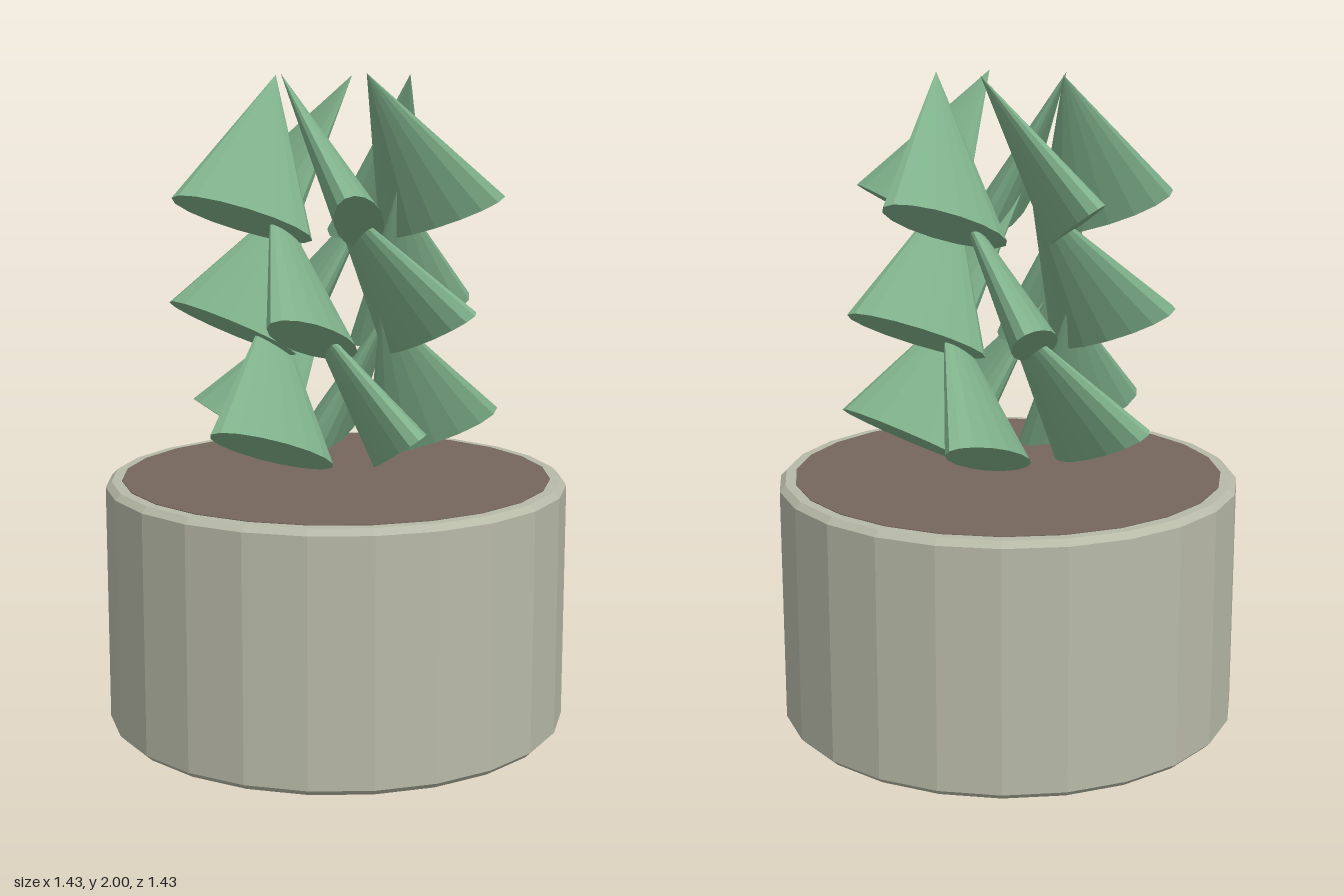
import * as THREE from 'three';

const material = (name, color) => {
  const m = new THREE.MeshStandardMaterial({ color, flatShading: true });
  m.name = name;
  return m;
};

export function createModel() {
  const group = new THREE.Group();
  const potMat = material('stone', 0xb8baa8);
  const soilMat = material('soil', 0x75675d);
  const leafMat = material('leaf green', 0x7fb18b);

  // Pot: 24-sided drum with small bevels
  const R = 0.715, H = 0.77, b = 0.018;
  const profile = [[0, 0], [R - b, 0], [R, b], [R, H - b], [R - b, H], [0, H]]
    .map(([x, y]) => new THREE.Vector2(x, y));
  const pot = new THREE.Mesh(new THREE.LatheGeometry(profile, 24), potMat);
  pot.name = 'pot';
  group.add(pot);

  // Soil: thin disc on the pot top
  const soil = new THREE.Mesh(new THREE.CylinderGeometry(0.665, 0.665, 0.006, 24), soilMat);
  soil.name = 'soil';
  soil.position.y = H - 0.001;
  group.add(soil);

  // Leaves: flattened cones in three pinwheel tiers of five
  const cone = new THREE.ConeGeometry(1, 1, 16).translate(0, 0.5, 0);
  const lean = [[0.028, -0.005], [0.008, -0.03], [-0.02, -0.017], [-0.023, 0.012], [0.003, 0.02]];
  const tiers = ['topLeaf', 'middleLeaf', 'bottomLeaf'];
  tiers.forEach((name, tier) => {
    for (let i = 0; i < 5; i++) {
      const a = THREE.MathUtils.degToRad(242.5 + tier * 24 + i * 72);
      const c = Math.cos(a), s = Math.sin(a);
      // Radial, tangential and upward amounts to a world vector
      const polar = (r, t, y) => new THREE.Vector3(r * c - t * s, y, r * s + t * c);

      const axis = polar(-0.24, 0.185, 0.425);
      if (tier === 0) axis.add(new THREE.Vector3(lean[i][0], 0, lean[i][1]));
      const length = axis.length();
      axis.normalize();
      const wide = polar(0.19, 0.08, 0.072);
      wide.addScaledVector(axis, -wide.dot(axis)).normalize();
      const thin = new THREE.Vector3().crossVectors(wide, axis);

      const leaf = new THREE.Mesh(cone, leafMat);
      leaf.name = name;
      leaf.position.copy(polar(0.32, 0, 1.575 - tier * 0.34));
      leaf.quaternion.setFromRotationMatrix(new THREE.Matrix4().makeBasis(wide, axis, thin));
      leaf.scale.set(0.218, length, 0.07);
      group.add(leaf);
    }
  });
  return group;
}
